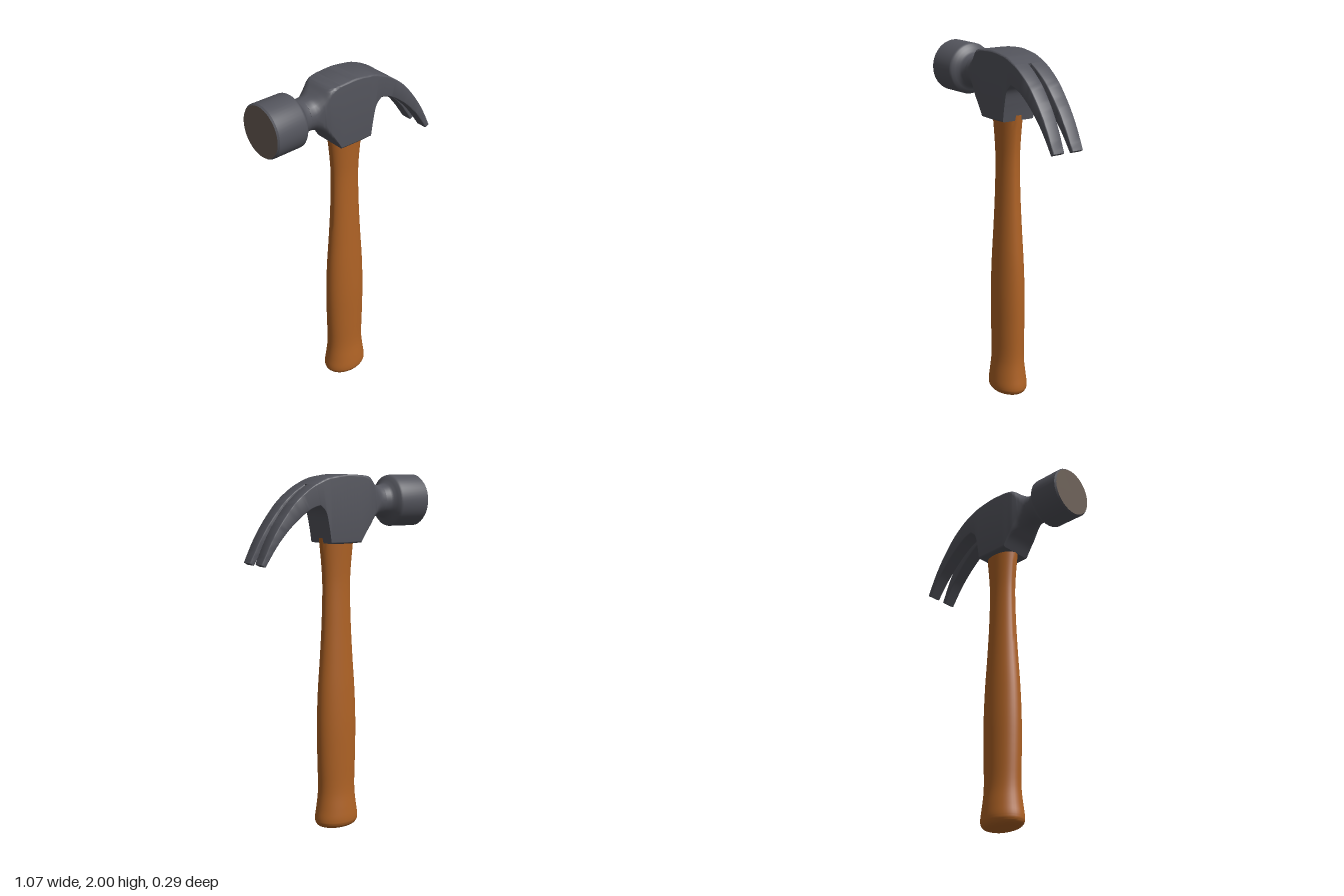
import * as THREE from 'three';
import { mergeGeometries, toCreasedNormals } from 'three/addons/utils/BufferGeometryUtils.js';

// Skin a list of closed rings, with optional flat ends
function loft(rings, capStart, capEnd) {
  const n = rings[0].length;
  const pos = rings.flat().flatMap((p) => [p.x, p.y, p.z]);
  const index = [];
  for (let i = 0; i < rings.length - 1; i++) {
    for (let j = 0; j < n; j++) {
      const a = i * n + j, b = i * n + ((j + 1) % n);
      index.push(a, a + n, b, b, a + n, b + n);
    }
  }
  const cap = (row, flip) => {
    const c = new THREE.Vector3();
    rings[row].forEach((p) => c.addScaledVector(p, 1 / n));
    const centre = pos.length / 3;
    pos.push(c.x, c.y, c.z);
    for (let j = 0; j < n; j++) {
      const a = row * n + j, b = row * n + ((j + 1) % n);
      index.push(centre, flip ? b : a, flip ? a : b);
    }
  };
  if (capStart) cap(0, false);
  if (capEnd) cap(rings.length - 1, true);
  const g = new THREE.BufferGeometry();
  g.setAttribute('position', new THREE.Float32BufferAttribute(pos, 3));
  g.setIndex(index);
  return g;
}

// Rounded rectangle standing between a top and a bottom point, from z0 to z1
function section(top, bottom, z0, z1, radius) {
  const mid = top.clone().add(bottom).multiplyScalar(0.5);
  const up = top.clone().sub(bottom);
  const h = up.length() / 2, d = (z1 - z0) / 2;
  const r = Math.min(radius, h * 0.98, d * 0.98);
  up.normalize();
  const ring = [], steps = 6;
  for (let q = 0; q < 4; q++) {
    const sz = q === 0 || q === 3 ? 1 : -1, sv = q < 2 ? 1 : -1;
    for (let k = 0; k <= steps; k++) {
      const a = ((q + k / steps) * Math.PI) / 2;
      const z = sz * (d - r) + r * Math.cos(a);
      const v = sv * (h - r) + r * Math.sin(a);
      ring.push(new THREE.Vector3(mid.x + up.x * v, mid.y + up.y * v, (z0 + z1) / 2 + z));
    }
  }
  return ring;
}

// Smooth loft through rows of [topX, topY, bottomX, bottomY, z0, z1, radius]
function bar(rows, capStart, capEnd, perRow = 5) {
  const spline = (f) => new THREE.SplineCurve(rows.map((r) => new THREE.Vector2(...f(r))));
  const top = spline((r) => [r[0], r[1]]), bottom = spline((r) => [r[2], r[3]]);
  const depth = spline((r) => [r[4], r[5]]), round = spline((r) => [r[6], 0]);
  const rings = [], n = (rows.length - 1) * perRow;
  for (let i = 0; i <= n; i++) {
    const t = i / n, d = depth.getPoint(t);
    rings.push(section(top.getPoint(t), bottom.getPoint(t), d.x, d.y, round.getPoint(t).x));
  }
  return loft(rings, capStart, capEnd);
}

export function createModel() {
  const steel = new THREE.MeshStandardMaterial({ color: 0x53545c });
  steel.name = 'dark steel';
  const faceSteel = new THREE.MeshStandardMaterial({ color: 0x6b5f56 });
  faceSteel.name = 'worn face steel';
  const wood = new THREE.MeshStandardMaterial({ color: 0xae6225 });
  wood.name = 'wood';

  const group = new THREE.Group();
  const add = (name, geometry, material) => {
    const mesh = new THREE.Mesh(geometry, material);
    mesh.name = name;
    group.add(mesh);
    return mesh;
  };

  // Handle: oval rings [y, half width, half depth]
  const grip = [
    [0, 0.06, 0.04], [0.008, 0.09, 0.064], [0.02, 0.117, 0.086], [0.04, 0.13, 0.098],
    [0.065, 0.131, 0.1], [0.12, 0.123, 0.095], [0.22, 0.113, 0.084], [0.4, 0.117, 0.083],
    [0.6, 0.12, 0.083], [0.8, 0.114, 0.077], [1.0, 0.1, 0.068], [1.2, 0.089, 0.06],
    [1.4, 0.085, 0.056], [1.5, 0.09, 0.059], [1.66, 0.106, 0.068],
  ];
  const path = new THREE.CatmullRomCurve3(grip.map((g) => new THREE.Vector3(g[1], g[0], g[2])), false, 'centripetal');
  const ovals = [];
  for (let i = 0; i <= 56; i++) {
    const p = path.getPoint(i / 56);
    ovals.push(Array.from({ length: 40 }, (_, j) => {
      const a = (j / 40) * Math.PI * 2;
      return new THREE.Vector3(0.002 + p.x * Math.cos(a), Math.max(p.y, 0), p.z * Math.sin(a));
    }));
  }
  add('handle', toCreasedNormals(loft(ovals, true, true), 0.9), wood);

  // Head block: round neck growing into a square body, then the claw root
  const neck = bar([
    [-0.28, 1.938, -0.28, 1.768, -0.087, 0.087, 0.085],
    [-0.24, 1.942, -0.24, 1.765, -0.088, 0.088, 0.08],
    [-0.2, 1.962, -0.2, 1.748, -0.096, 0.096, 0.06],
    [-0.165, 1.986, -0.165, 1.718, -0.1, 0.1, 0.03],
    [-0.13, 1.993, -0.13, 1.678, -0.1, 0.1, 0.014],
    [-0.1, 1.996, -0.1, 1.632, -0.1, 0.1, 0.01],
  ], true, false);
  const body = bar([
    [-0.1, 1.996, -0.1, 1.632, -0.1, 0.1, 0.01],
    [0, 2, 0, 1.63, -0.1, 0.1, 0.01],
    [0.1, 1.987, 0.1, 1.632, -0.1, 0.1, 0.01],
  ], false, false);
  const clawRoot = bar([
    [0.1, 1.987, 0.1, 1.632, -0.1, 0.1, 0.01],
    [0.125, 1.981, 0.114, 1.72, -0.1, 0.1, 0.01],
    [0.16, 1.968, 0.133, 1.797, -0.1, 0.1, 0.01],
    [0.2, 1.949, 0.17, 1.837, -0.1, 0.1, 0.008],
  ], false, true);
  add('headBody', toCreasedNormals(mergeGeometries([neck, body, clawRoot]), 0.6), steel);

  // Two curved prongs with a widening slot between them
  const prong = [
    [0.2, 1.949, 0.17, 1.837, 0.008, 0.1],
    [0.255, 1.915, 0.222, 1.822, 0.01, 0.1],
    [0.33, 1.853, 0.29, 1.78, 0.012, 0.099],
    [0.41, 1.757, 0.37, 1.71, 0.015, 0.098],
    [0.475, 1.657, 0.44, 1.63, 0.02, 0.097],
    [0.533, 1.543, 0.508, 1.529, 0.026, 0.095],
  ];
  for (const [name, side] of [['frontProng', 1], ['backProng', -1]]) {
    const rows = prong.map(([a, b, c, d, inner, outer]) =>
      [a, b, c, d, Math.min(side * inner, side * outer), Math.max(side * inner, side * outer), 0.006]);
    add(name, toCreasedNormals(bar(rows, true, true), 0.6), steel);
  }

  // Striking cap with a flared shoulder, turned about the x axis
  const profile = [
    [0.085, 0.26], [0.087, 0.285], [0.092, 0.31], [0.101, 0.322], [0.118, 0.334],
    [0.134, 0.344], [0.141, 0.352], [0.143, 0.36], [0.144, 0.525], [0.137, 0.534],
  ].map(([r, y]) => new THREE.Vector2(r, y));
  const cap = new THREE.LatheGeometry(profile, 48).rotateZ(Math.PI / 2);
  add('strikingCap', toCreasedNormals(cap, 0.6), steel).position.y = 1.852;

  // Worn striking face
  const face = add('strikingFace', new THREE.CircleGeometry(0.137, 48), faceSteel);
  face.rotation.y = -Math.PI / 2;
  face.position.set(-0.534, 1.852, 0);

  return group;
}
